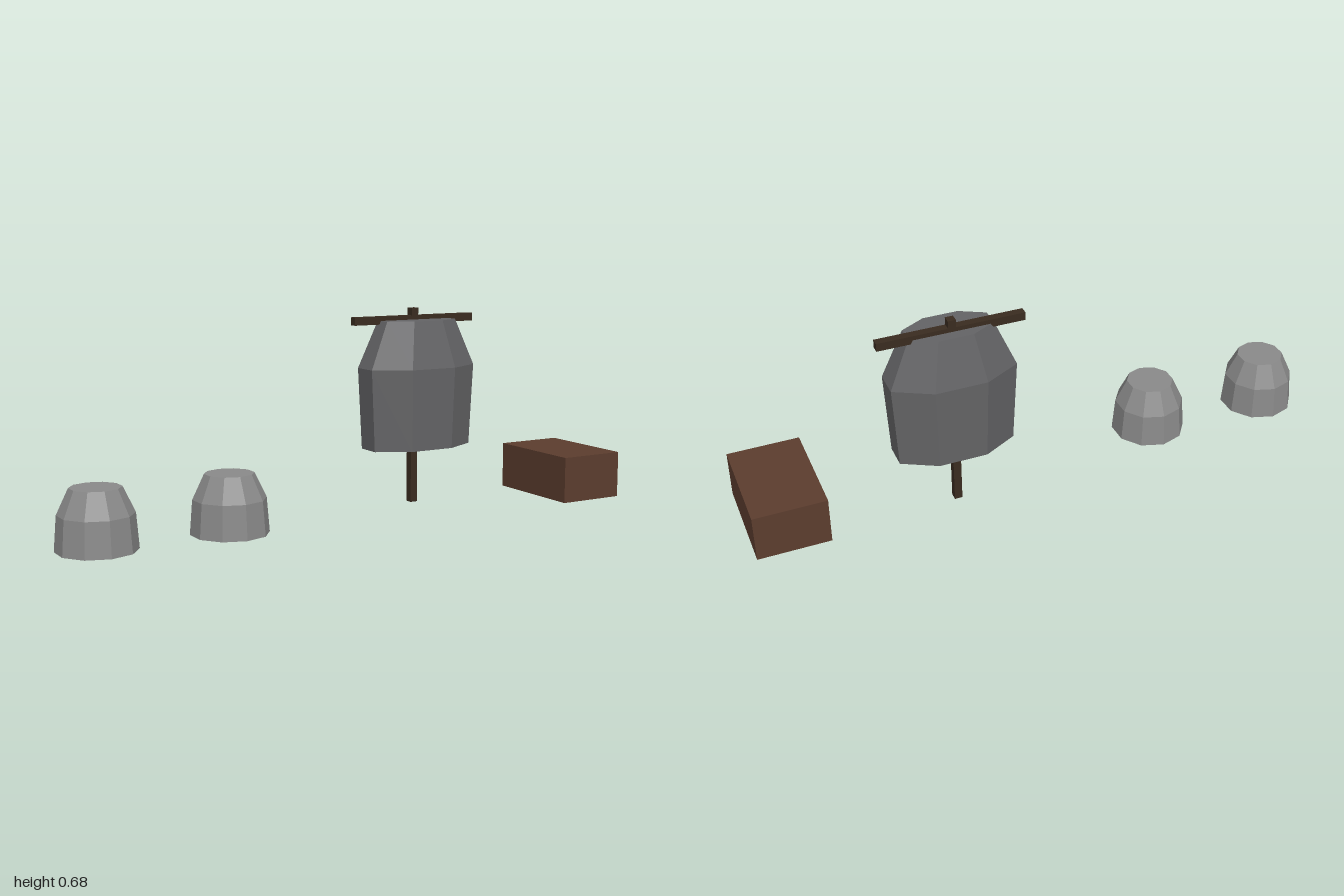
import * as THREE from 'three';

const stone = new THREE.MeshStandardMaterial({ color: 0x8a8a8a, flatShading: true, side: THREE.DoubleSide });
stone.name = 'light grey';
const cloth = new THREE.MeshStandardMaterial({ color: 0x646466, flatShading: true, side: THREE.DoubleSide });
cloth.name = 'dark grey';
const darkWood = new THREE.MeshStandardMaterial({ color: 0x3a2c20, flatShading: true });
darkWood.name = 'dark wood';
const brown = new THREE.MeshStandardMaterial({ color: 0x5c3d2e, flatShading: true });
brown.name = 'brown';

// Faceted surface of revolution from [radius, height] pairs, listed bottom to top
function lathe(profile, sides, turn = 0) {
  return new THREE.LatheGeometry(profile.map(([r, y]) => new THREE.Vector2(r, y)), sides, turn);
}

function add(parent, name, geometry, material, x = 0, y = 0, z = 0) {
  const mesh = new THREE.Mesh(geometry, material);
  mesh.name = name;
  mesh.position.set(x, y, z);
  parent.add(mesh);
  return mesh;
}

export function createModel() {
  const model = new THREE.Group();
  model.name = 'model';

  // Two ten-sided domes, capped on top and open below
  const dome = lathe([[0.127, 0], [0.118, 0.112], [0.08, 0.193], [0, 0.193]], 10);
  for (const [name, x] of [['outerDome', -0.879], ['innerDome', -0.44]]) {
    add(model, name, dome, stone, x, 0, 0.012);
  }

  // Hanging garment on a cross-shaped stand
  const stand = new THREE.Group();
  stand.name = 'garmentStand';
  stand.position.x = 0.319;
  model.add(stand);

  // Flattened octagonal body; half widths are measured across the flats
  const k = 1 / Math.cos(Math.PI / 8);
  const body = lathe(
    [[0, 0.201], [0.193 * k, 0.201], [0.207 * k, 0.48], [0.138 * k, 0.64], [0, 0.64]], 8, Math.PI / 8);
  body.scale(1, 0.536, 1);
  // Restore height and flatten front to back instead
  body.scale(1, 1 / 0.536, 0.536);
  add(stand, 'garment', body, cloth, 0, 0, -0.082);

  add(stand, 'post', new THREE.BoxGeometry(0.026, 0.68, 0.027), darkWood, 0, 0.34, -0.106);
  add(stand, 'crossbar', new THREE.BoxGeometry(0.48, 0.027, 0.027), darkWood, 0, 0.641, -0.106);

  // Plain block
  add(model, 'block', new THREE.BoxGeometry(0.24, 0.16, 0.36), brown, 0.88, 0.08, 0.014);

  return model;
}
